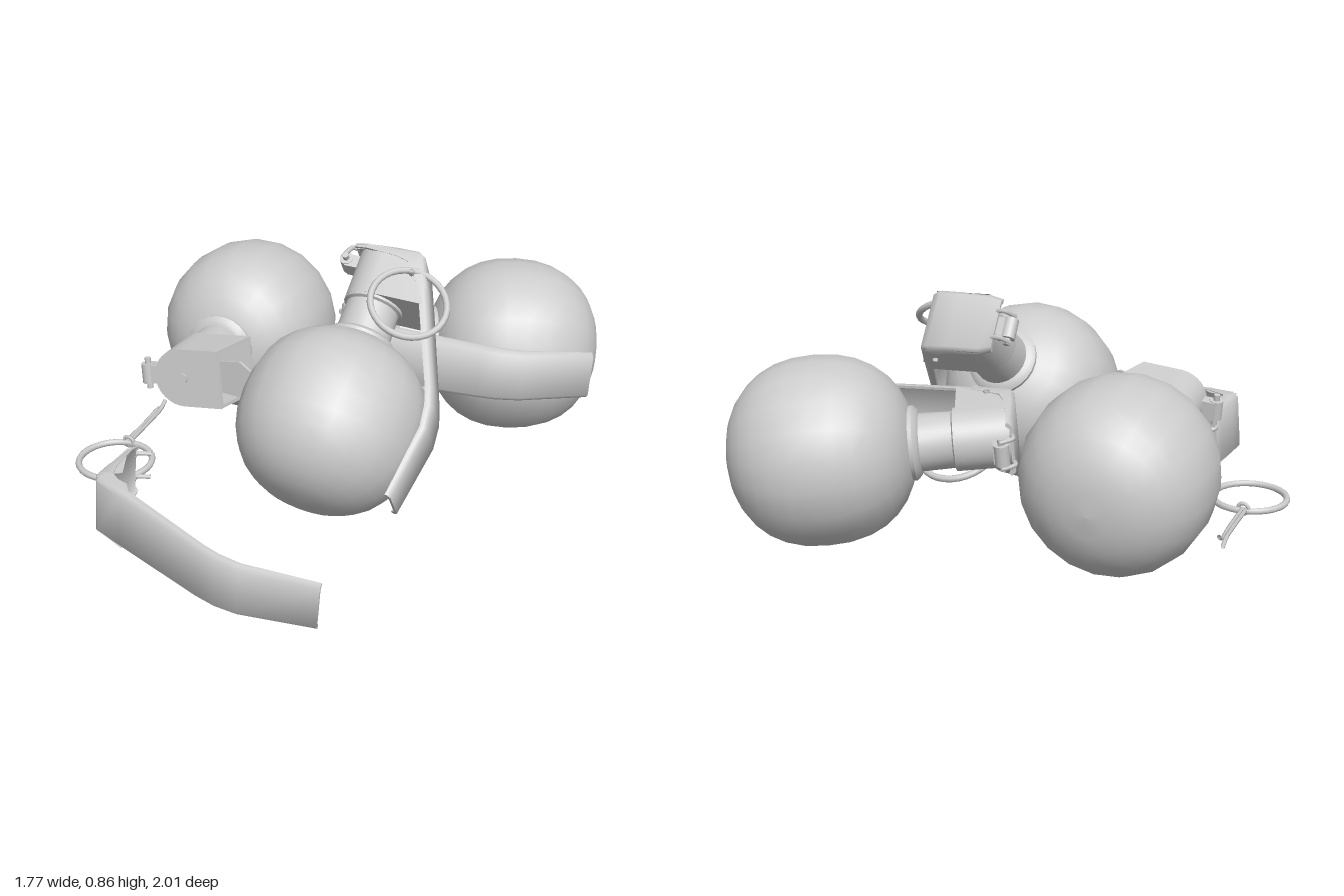
import * as THREE from 'three';
import { toCreasedNormals } from 'three/addons/utils/BufferGeometryUtils.js';

const V = (x, y, z) => new THREE.Vector3(x, y, z);

export function createModel() {
  const steel = new THREE.MeshStandardMaterial({ color: 0xcccccc, side: THREE.DoubleSide });
  steel.name = 'lightGrey';

  const add = (parent, name, geo, pos = [0, 0, 0]) => {
    const m = new THREE.Mesh(geo, steel);
    m.name = name;
    m.position.set(...pos);
    parent.add(m);
    return m;
  };

  // Group whose local x is the lever side and local y the body axis
  const frame = (name, origin, axis, side) => {
    const a = V(...axis).normalize();
    const l = V(...side);
    l.addScaledVector(a, -l.dot(a)).normalize();
    const g = new THREE.Group();
    g.name = name;
    g.applyMatrix4(new THREE.Matrix4().makeBasis(l, a, l.clone().cross(a)));
    g.position.set(...origin);
    return g;
  };

  // Round bar between points
  const bar = (pts, r) => new THREE.TubeGeometry(
    new THREE.CatmullRomCurve3(pts.map(p => V(...p)), false, 'centripetal'), 10, r, 6);

  // Slightly squared ball body, turned around y
  function bodyGeometry() {
    const pts = [];
    const sp = v => Math.sign(v) * Math.abs(v) ** 0.88;
    for (let i = 0; i <= 16; i++) {
      const t = -Math.PI / 2 + Math.PI * i / 16;
      pts.push(new THREE.Vector2(Math.max(0, 0.337 * sp(Math.cos(t))), 0.33 * sp(Math.sin(t))));
    }
    pts[0].x = pts[16].x = 0;
    return new THREE.LatheGeometry(pts, 20);
  }

  // Neck with collars
  function neckGeometry() {
    const prof = [[0.09, 0.29], [0.13, 0.3], [0.133, 0.325], [0.118, 0.34], [0.103, 0.345],
      [0.1, 0.46], [0.112, 0.465], [0.112, 0.485], [0, 0.485]];
    return toCreasedNormals(new THREE.LatheGeometry(prof.map(p => new THREE.Vector2(...p)), 24), 0.6);
  }

  // D-shaped extrusion for the fuze housing, leaning in at its open side
  function housingGeometry(y, h, hollow) {
    const R = 0.112, r = 0.098, L = 0.2;
    const s = new THREE.Shape();
    s.moveTo(L, R);
    s.lineTo(0, R);
    s.absarc(0, 0, R, Math.PI / 2, Math.PI * 1.5, false);
    s.lineTo(L, -R);
    if (hollow) {
      s.lineTo(L, -r);
      s.lineTo(0, -r);
      s.absarc(0, 0, r, Math.PI * 1.5, Math.PI / 2, true);
      s.lineTo(L, r);
    }
    const g = new THREE.ExtrudeGeometry(s, { depth: h, bevelEnabled: false, curveSegments: 12 });
    g.rotateX(-Math.PI / 2);
    g.translate(0, y, 0);
    const p = g.attributes.position;
    for (let i = 0; i < p.count; i++) {
      if (p.getX(i) > 0.1) p.setX(i, p.getX(i) - (p.getY(i) - 0.48) / 0.19 * 0.055);
    }
    return toCreasedNormals(g, 0.6);
  }

  // Bent channel lever lofted along its path: [side, axis, half width, flange depth]
  function leverGeometry() {
    const path = [[-0.12, 0.672, 0.1, 0.02], [-0.07, 0.676, 0.112, 0.025], [0.05, 0.684, 0.114, 0.04],
      [0.125, 0.684, 0.116, 0.06], [0.155, 0.665, 0.116, 0.065], [0.2, 0.55, 0.113, 0.035],
      [0.34, 0.18, 0.103, 0.03], [0.36, 0.11, 0.101, 0.03], [0.367, 0.02, 0.098, 0.028],
      [0.32, -0.25, 0.09, 0.02]];
    const t = 0.01, e = 0.014, pos = [], idx = [];
    path.forEach(([x, y, w, d], i) => {
      const a = path[Math.max(0, i - 1)], b = path[Math.min(path.length - 1, i + 1)];
      const n = new THREE.Vector2(b[1] - a[1], a[0] - b[0]).normalize();
      const section = [[d, -w], [e, -w], [0, -w + e], [0, w - e], [e, w], [d, w],
        [d, w - t], [e + t, w - t], [t, w - e - t], [t, -w + e + t], [e + t, -w + t], [d, -w + t]];
      for (const [k, z] of section) pos.push(x + n.x * k, y + n.y * k, z);
    });
    const N = 12;
    for (let i = 0; i < path.length - 1; i++) for (let j = 0; j < N; j++) {
      const a = i * N + j, b = i * N + (j + 1) % N;
      idx.push(a, b, a + N, b, b + N, a + N);
    }
    const last = (path.length - 1) * N;
    for (let j = 0; j < 5; j++) {
      const q = [j, j + 1, 10 - j, 11 - j];
      idx.push(q[0], q[2], q[1], q[0], q[3], q[2]);
      idx.push(last + q[0], last + q[1], last + q[2], last + q[0], last + q[2], last + q[3]);
    }
    const g = new THREE.BufferGeometry();
    g.setAttribute('position', new THREE.Float32BufferAttribute(pos, 3));
    g.setIndex(idx);
    return toCreasedNormals(g, 0.9);
  }

  const leverGeo = leverGeometry();
  const bodyGeo = bodyGeometry();
  const neckGeo = neckGeometry();
  const ringGeo = new THREE.TorusGeometry(0.14, 0.0125, 8, 32);

  function addLever(g) {
    add(g, 'lever', leverGeo);
    // Hooks that catch the hinge, and notched corner gussets
    for (const s of [-1, 1]) {
      add(g, 'leverHook', bar([[-0.11, 0.668, s * 0.05], [-0.14, 0.672, s * 0.05],
        [-0.155, 0.65, s * 0.05], [-0.165, 0.625, s * 0.05]], 0.009));
      const gusset = new THREE.Shape([[-0.08, 0.67], [0.14, 0.675], [0.2, 0.54], [0.17, 0.53], [0.13, 0.56],
        [0.12, 0.6], [0.1, 0.635], [0.08, 0.605], [0.03, 0.625]].map(p => new THREE.Vector2(...p)));
      add(g, 'leverGusset', new THREE.ShapeGeometry(gusset), [0, 0, s * 0.111]);
    }
  }

  function addShell(g) {
    add(g, 'body', bodyGeo);
    add(g, 'neck', neckGeo);
    add(g, 'housingWall', housingGeometry(0.48, 0.185, true));
    add(g, 'housingFloor', housingGeometry(0.475, 0.014, false));
    add(g, 'housingTop', housingGeometry(0.652, 0.014, false));
    add(g, 'topRivet', new THREE.CylinderGeometry(0.02, 0.02, 0.012, 12), [0, 0.668, 0]);
    // Hinge on the side opposite the lever
    add(g, 'hingeBlock', new THREE.BoxGeometry(0.06, 0.05, 0.07), [-0.125, 0.625, 0]);
    const knuckle = add(g, 'hingeKnuckle', new THREE.CylinderGeometry(0.026, 0.026, 0.075, 12), [-0.155, 0.63, 0]);
    const pin = add(g, 'hingePin', new THREE.CylinderGeometry(0.012, 0.012, 0.12, 8), [-0.155, 0.63, 0]);
    knuckle.rotation.x = pin.rotation.x = Math.PI / 2;
  }

  function addRingAndPin(g) {
    const ring = add(g, 'pullRing', ringGeo, [0.16, 0.46, 0.125]);
    ring.quaternion.setFromUnitVectors(V(0, 0, 1), V(0.28, 0.14, 0.945).normalize());
    add(g, 'safetyPin', bar([[0.13, 0.585, -0.12], [0.13, 0.585, 0], [0.13, 0.585, 0.13]], 0.011));
  }

  const model = new THREE.Group();
  model.name = 'model';

  // Opened piece lying on its side, with its striker swung out
  const opened = frame('openedPiece', [-0.515, 0.35, -0.4], [0.08, 0.1, 0.99], [0.99, 0.1, -0.09]);
  addShell(opened);
  const flap = new THREE.Shape([[0, -0.06], [0.1, -0.07], [0.145, -0.04], [0.145, 0.04], [0.1, 0.07], [0, 0.06]]
    .map(p => new THREE.Vector2(...p)));
  const striker = add(opened, 'striker',
    new THREE.ExtrudeGeometry(flap, { depth: 0.01, bevelEnabled: false }), [0.13, 0.615, 0]);
  striker.rotation.set(-Math.PI / 2, -0.22, 0);
  model.add(opened);

  // Two complete pieces
  const leaning = frame('leaningPiece', [0.13, 0.36, 0.232], [0, 0.615, -0.79], [1, -0.06, -0.05]);
  const lying = frame('lyingPiece', [0.507, 0.35, -0.66], [-0.88, 0.08, 0.46], [0.45, 0.09, 0.89]);
  for (const g of [leaning, lying]) {
    addShell(g);
    addLever(g);
    addRingAndPin(g);
    model.add(g);
  }

  // Loose lever standing on its edge
  const loose = frame('looseLever', [0.15, 0.112, 0.635], [-0.997, 0.08, 0.03], [0.03, 0, 1]);
  addLever(loose);
  model.add(loose);

  // Loose ring and splayed pin on the ground
  const pulled = new THREE.Group();
  pulled.name = 'looseRingAndPin';
  const ring = add(pulled, 'looseRing', ringGeo, [-0.735, 0.037, 0.33]);
  ring.rotation.x = Math.PI / 2;
  add(pulled, 'pinEye', new THREE.TorusGeometry(0.02, 0.008, 6, 12), [-0.757, 0.045, 0.195]);
  for (const s of [-1, 1]) {
    add(pulled, 'pinLeg', bar([[-0.76 + s * 0.007, 0.043, 0.2], [-0.775 + s * 0.006, 0.043, 0],
      [-0.785 + s * 0.006, 0.043, -0.09], [-0.788 + s * 0.008, 0.046 + s * 0.018, -0.13]], 0.008));
  }
  model.add(pulled);
  return model;
}
